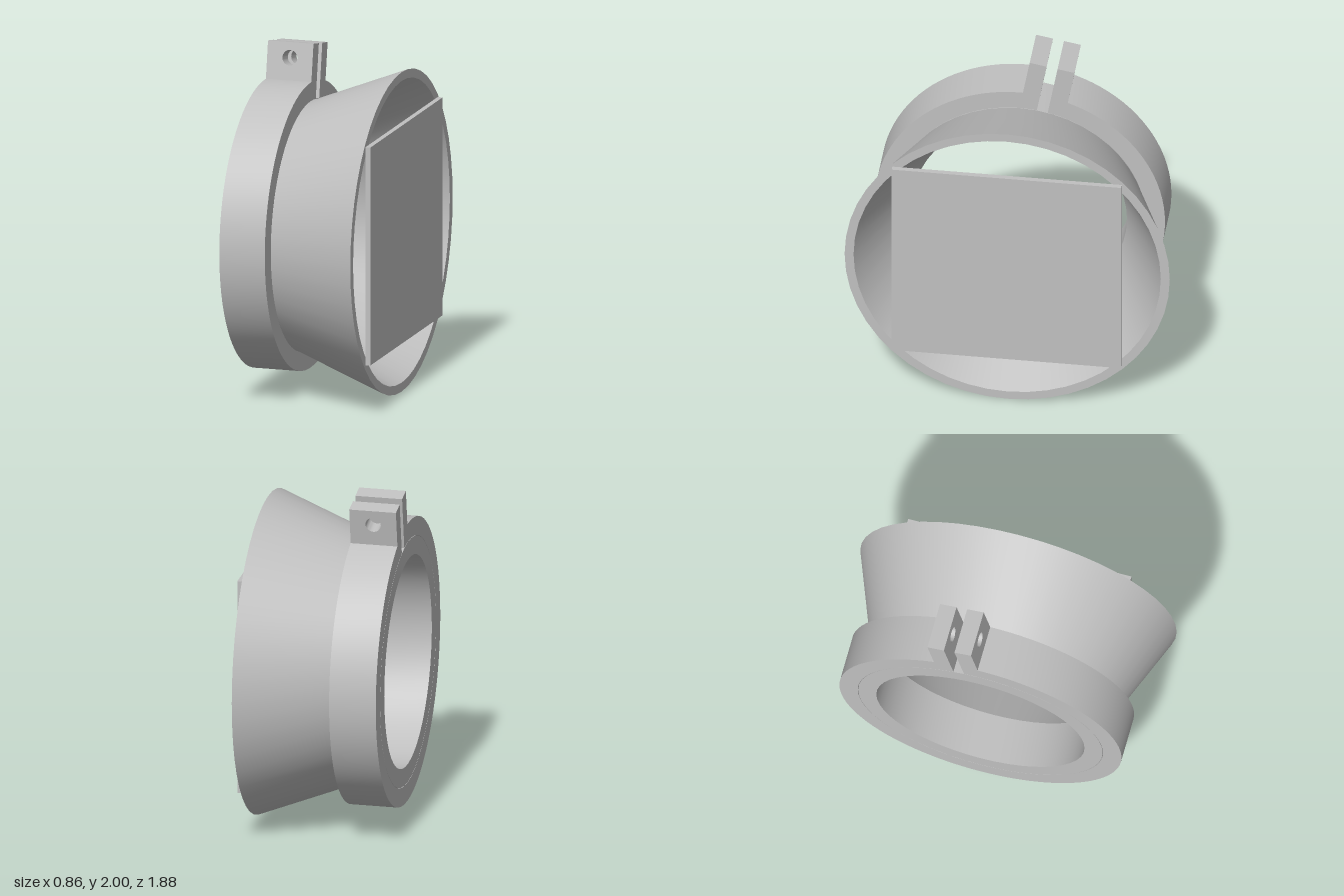
import * as THREE from 'three';
import { toCreasedNormals } from 'three/addons/utils/BufferGeometryUtils.js';

const AXIS_Y = 0.942;              // height of the horizontal axis
const BACK = -0.43, NECK = -0.155, MOUTH = 0.395;
const WIDTH = NECK - BACK;
const CREASE = 0.26;

export function createModel() {
  const model = new THREE.Group();
  model.name = 'ductFunnelWithClamp';
  const grey = new THREE.MeshStandardMaterial({ color: 0xc0c0c0 });
  grey.name = 'plain grey';

  const add = (parent, name, geometry) => {
    const mesh = new THREE.Mesh(geometry, grey);
    mesh.name = name;
    parent.add(mesh);
    return mesh;
  };

  // Everything round is centred on the x axis of this group
  const body = new THREE.Group();
  body.name = 'body';
  body.position.y = AXIS_Y;
  model.add(body);

  // Funnel: straight collar that flares into a cone, hollow all through
  const profile = [
    [0.62, BACK], [0.728, BACK], [0.728, NECK], [0.942, MOUTH],
    [0.89, MOUTH], [0.62, NECK], [0.62, BACK],
  ].map(([r, x]) => new THREE.Vector2(r, x));
  const funnel = new THREE.LatheGeometry(profile, 48);
  funnel.rotateZ(-Math.PI / 2);
  add(body, 'funnel', toCreasedNormals(funnel, CREASE));

  // Square plate across the mouth
  const plate = add(body, 'mouthPlate', new THREE.BoxGeometry(0.03, 1.285, 1.33));
  plate.position.set(MOUTH + 0.015, 0.005, 0);

  // Split clamp, tilted slightly backwards around the axis
  const clamp = new THREE.Group();
  clamp.name = 'clamp';
  clamp.rotation.x = THREE.MathUtils.degToRad(-10.2);
  body.add(clamp);

  const gap = 0.032, outer = 0.84, inner = 0.73;
  const top = Math.PI / 2;
  const go = Math.asin(gap / outer), gi = Math.asin(gap / inner);
  const band = new THREE.Shape();
  band.absarc(0, 0, outer, top + go, top - go + 2 * Math.PI, false);
  band.absarc(0, 0, inner, top - gi + 2 * Math.PI, top + gi, true);
  band.closePath();
  const ring = new THREE.ExtrudeGeometry(band, { depth: WIDTH, bevelEnabled: false, curveSegments: 48 });
  ring.rotateY(Math.PI / 2);
  ring.translate(BACK, 0, 0);
  add(clamp, 'clampRing', toCreasedNormals(ring, CREASE));

  // Two ears with a bolt hole, either side of the split
  const ear = new THREE.Shape();
  ear.moveTo(BACK, 0.8);
  ear.lineTo(NECK, 0.8);
  ear.lineTo(NECK, 1.05);
  ear.lineTo(BACK, 1.05);
  ear.closePath();
  const hole = new THREE.Path();
  hole.absarc((BACK + NECK) / 2, 0.96, 0.045, 0, Math.PI * 2, true);
  ear.holes.push(hole);
  for (const [name, z] of [['frontEar', gap], ['backEar', -gap - 0.1]]) {
    const geometry = new THREE.ExtrudeGeometry(ear, { depth: 0.1, bevelEnabled: false, curveSegments: 16 });
    geometry.translate(0, 0, z);
    add(clamp, name, toCreasedNormals(geometry, 0.5));
  }

  return model;
}
